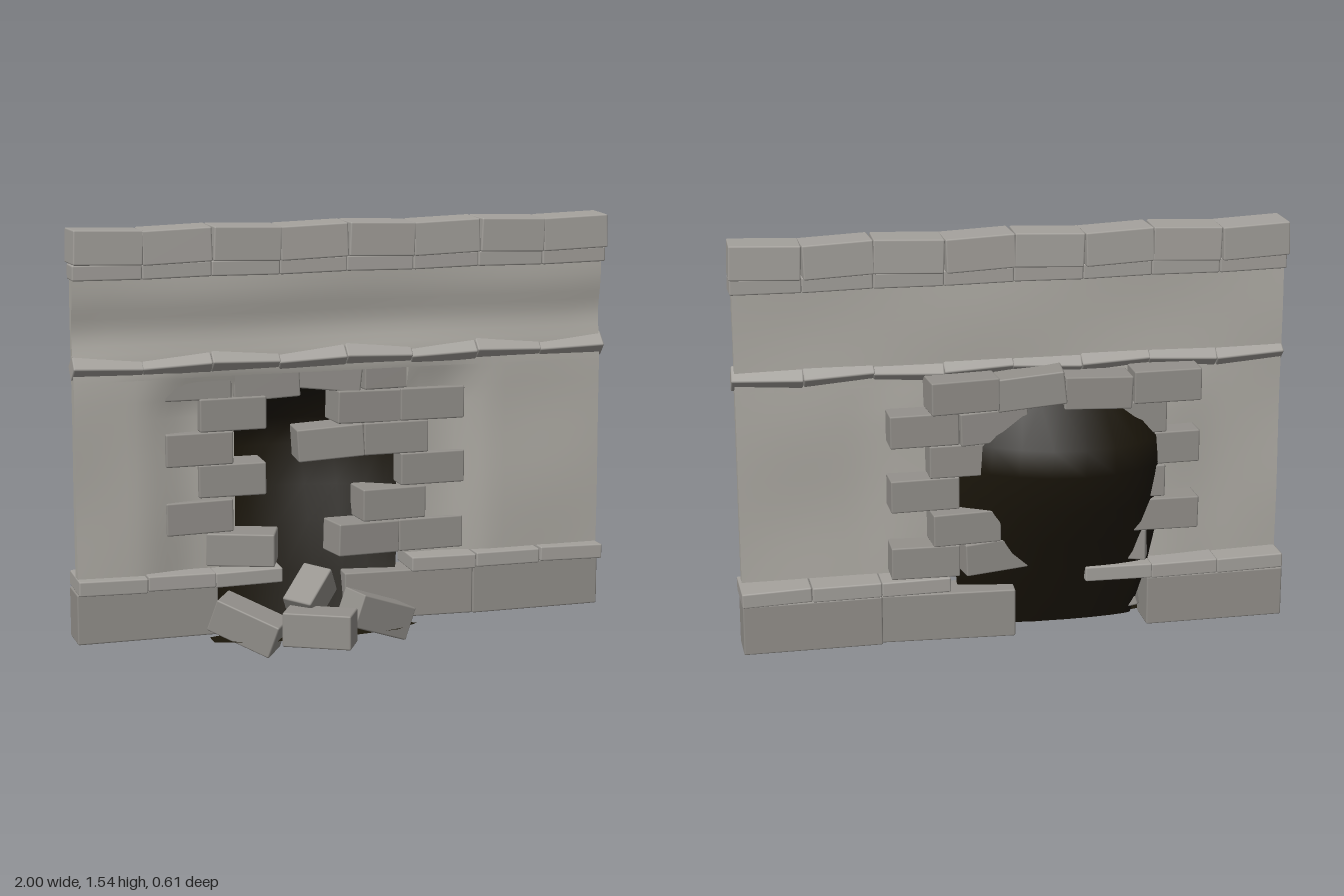
import * as THREE from 'three';
import { RoundedBoxGeometry } from 'three/addons/geometries/RoundedBoxGeometry.js';

const plasterMat = new THREE.MeshStandardMaterial({ color: 0xb0ada6 });
const copingMat = new THREE.MeshStandardMaterial({ color: 0xa5a29d });
const brickMat = new THREE.MeshStandardMaterial({ color: 0x94918c });
const dark = new THREE.MeshStandardMaterial({ color: 0x1a150a, side: THREE.DoubleSide });

let seed = 7;
const jitter = (a) => {
  seed = (seed * 16807) % 2147483647;
  return (seed / 2147483647 - 0.5) * 2 * a;
};

// Worn stone block given by centre, size and rotation
function block(parent, name, material, [x, y, z], [w, h, d], [rx, ry, rz] = [0, 0, 0]) {
  const mesh = new THREE.Mesh(new RoundedBoxGeometry(w, h, d, 1, 0.006), material);
  mesh.name = name;
  mesh.position.set(x, y, z);
  mesh.rotation.set(rx, ry, rz);
  parent.add(mesh);
}

function group(parent, name) {
  const g = new THREE.Group();
  g.name = name;
  parent.add(g);
  return g;
}

// Plaster panel: its front sinks in around the breach, and it thins behind the frieze
function panel(parent, name, x0, x1, y0, y1) {
  const geo = new THREE.BoxGeometry(x1 - x0, y1 - y0, 1, 16, 12, 1);
  geo.translate((x0 + x1) / 2, (y0 + y1) / 2, 0);
  const p = geo.attributes.position;
  for (let i = 0; i < p.count; i++) {
    const x = p.getX(i), y = p.getY(i);
    const side = 1 - THREE.MathUtils.smoothstep(Math.abs(x + 0.1), 0.45, 0.68);
    const low = 1 - THREE.MathUtils.smoothstep(y, 0.9, 1.05);
    const waist = Math.exp(-(((y - 1.17) / 0.09) ** 2));
    const ripple = 0.005 * Math.sin(5 * x + 1) * Math.sin(9 * y);
    const front = -0.025 - 0.04 * side * low - 0.022 * waist;
    const back = -0.07 - 0.012 * side * low;
    p.setZ(i, (p.getZ(i) > 0 ? front : back) + ripple);
  }
  geo.computeVertexNormals();
  const mesh = new THREE.Mesh(geo, plasterMat);
  mesh.name = name;
  parent.add(mesh);
}

// Dark hollow behind the breach: rounded cross-sections from top to floor
function hollow(parent) {
  // y, centre x, half width, rim z, back z
  const rows = [
    [0.93, -0.18, 0.24, -0.12, -0.17],
    [0.79, -0.16, 0.36, -0.12, -0.305],
    [0.69, -0.16, 0.37, -0.12, -0.3],
    [0.54, -0.15, 0.37, -0.11, -0.26],
    [0.41, -0.15, 0.37, -0.1, -0.2],
    [0.25, -0.14, 0.35, -0.09, -0.14],
    [0.06, -0.15, 0.3, -0.03, -0.06],
  ];
  const n = 10;
  const geo = new THREE.PlaneGeometry(1, 1, n, rows.length - 1);
  const p = geo.attributes.position;
  rows.forEach(([y, cx, rx, rim, back], r) => {
    for (let i = 0; i <= n; i++) {
      const t = Math.PI * i / n, s = Math.sin(t);
      p.setXYZ(r * (n + 1) + i, cx - rx * Math.cos(t) - 0.06 * s, y, rim + (back - rim) * s ** 1.6);
    }
  });
  geo.computeVertexNormals();
  const shell = new THREE.Mesh(geo, dark);
  shell.name = 'hollow';
  parent.add(shell);

  const floor = new THREE.Mesh(new THREE.CircleGeometry(1, 9), dark);
  floor.name = 'hollowFloor';
  floor.rotation.x = -Math.PI / 2;
  floor.scale.set(0.4, 0.1, 1);
  floor.position.set(-0.15, 0.058, 0.045);
  parent.add(floor);
}

export function createModel() {
  const model = new THREE.Group();
  model.name = 'breachedWall';

  // Plaster
  const plaster = group(model, 'plaster');
  panel(plaster, 'rightPanel', -0.995, -0.41, 0.27, 1.05);
  panel(plaster, 'leftPanel', 0.24, 0.985, 0.3, 1.05);
  panel(plaster, 'upperPanel', -0.995, 0.985, 1.0, 1.38);

  // Coping, moulding under it and diamond rail, eight stones each
  const coping = group(model, 'coping');
  const moulding = group(model, 'moulding');
  const rail = group(model, 'rail');
  for (let i = 0; i < 8; i++) {
    const x = -0.873 + i * 0.249;
    const tilt = (i % 2 ? 1 : -1) * 0.035;
    block(coping, 'copingStone', copingMat, [x, 1.475, -0.055], [0.248, 0.122, 0.14], [jitter(0.02), -tilt, tilt]);
    block(moulding, 'mouldingStone', copingMat, [x, 1.388, -0.052], [0.249, 0.055, 0.09], [0, jitter(0.02), tilt * 0.4]);
    block(rail, 'railStone', copingMat, [x, 1.05 + jitter(0.005), -0.05], [0.252, 0.068, 0.068],
      [Math.PI / 4, jitter(0.02), tilt * 1.6]);
  }

  // Plinth blocks and the ledge on top of them
  const plinth = group(model, 'plinth');
  block(plinth, 'plinthBlock', brickMat, [-0.742, 0.15, -0.092], [0.515, 0.185, 0.14]);
  block(plinth, 'plinthBlock', brickMat, [0.742, 0.15, -0.092], [0.5, 0.185, 0.14]);
  block(plinth, 'plinthBlock', brickMat, [0.25, 0.15, -0.1], [0.49, 0.18, 0.13], [0, -0.06, 0]);
  const ledge = group(model, 'ledge');
  for (const x of [-0.873, -0.624, -0.377, 0.367, 0.618, 0.87]) {
    block(ledge, 'ledgeStone', copingMat, [x, 0.27, -0.077], [0.249, 0.055, 0.185],
      [jitter(0.02), jitter(0.015), jitter(0.03)]);
  }

  // Bricks left standing around the breach: x, y, z, turn, tilt
  const bricks = group(model, 'breachBricks');
  [
    [-0.545, 0.975, -0.115, 0, 0], [-0.29, 0.965, -0.12, 0, 0.03],
    [-0.05, 0.985, -0.125, -0.1, -0.1], [0.195, 0.98, -0.125, 0.08, 0],
    [-0.42, 0.86, -0.105, 0.03, 0], [0.09, 0.86, -0.11, 0.08, -0.03], [0.335, 0.86, -0.108, 0, 0],
    [-0.545, 0.74, -0.1, 0, 0], [-0.05, 0.735, -0.1, -0.1, 0.06], [0.195, 0.74, -0.105, 0, 0],
    [-0.42, 0.62, -0.105, -0.04, 0], [0.335, 0.62, -0.104, 0, 0],
    [-0.545, 0.49, -0.105, 0, 0.02], [0.19, 0.49, -0.12, 0.06, 0],
    [-0.385, 0.37, -0.055, -0.35, 0], [0.08, 0.37, -0.1, 0.15, -0.04], [0.335, 0.37, -0.115, 0, 0],
  ].forEach(([x, y, z, turn, tilt]) => {
    block(bricks, 'brick', brickMat, [x, y, z], [0.247, 0.12, 0.14], [0, turn + jitter(0.02), tilt + jitter(0.012)]);
  });

  // Fallen bricks in front
  const rubble = group(model, 'rubble');
  const size = [0.25, 0.125, 0.125];
  block(rubble, 'fallenBrick', brickMat, [-0.395, 0.11, 0.06], size, [0.08, -0.6, -0.32]);
  block(rubble, 'fallenBrick', brickMat, [-0.165, 0.113, 0.19], size, [0, -0.5, 0]);
  block(rubble, 'fallenBrick', brickMat, [0.085, 0.11, 0.06], size, [0.05, 0.32, -0.37]);
  block(rubble, 'fallenBrick', brickMat, [-0.16, 0.2, 0.045], [0.18, 0.115, 0.115], [0.15, 0.8, 0.5]);

  hollow(model);
  return model;
}
